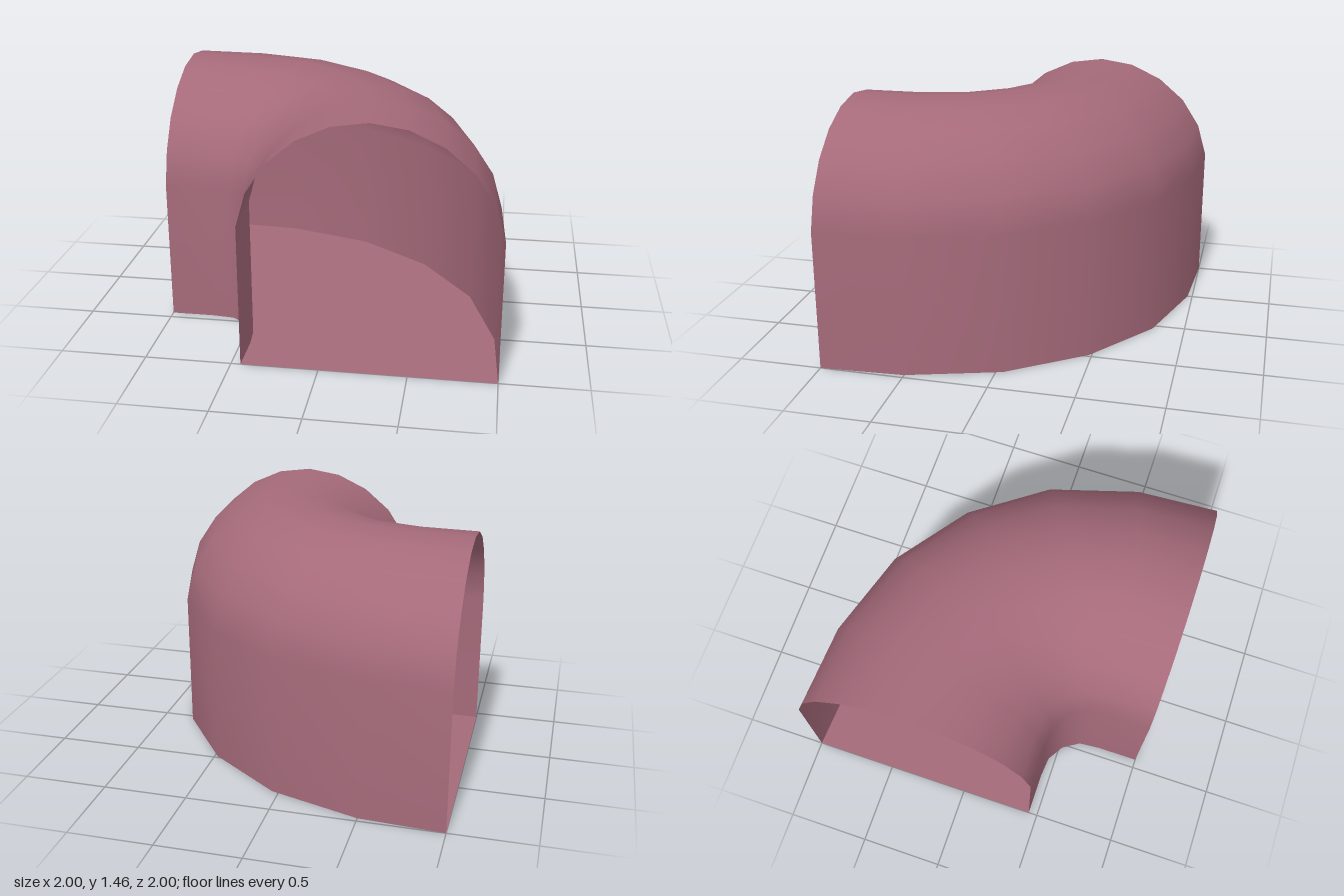
import * as THREE from 'three';

// Plan of the bend: [inner x, inner z, outer x, outer z] up to the middle of the turn
const half = [
  [-1, 0.445, -1, -1],
  [-0.75, 0.445, -0.5, -0.97],
  [-0.62, 0.457, 0.04, -0.805],
];
const middle = [-0.52, 0.52, 0.483, -0.483];
const mirror = ([ix, iz, ox, oz]) => [-iz, -ix, -oz, -ox];
const stations = [...half, middle, ...half.map(mirror).reverse()];

// Arch from springing line to crown: [fraction of half width, height]
const rise = [[1, 0.84], [0.92, 1.04], [0.766, 1.21], [0.545, 1.345], [0.283, 1.432]];
const section = [
  [-1, 0], ...rise.map(([f, y]) => [-f, y]),
  [0, 1.462],
  ...rise.slice().reverse(), [1, 0],
];

// Sweep a profile of [fraction across, height] through all stations
function sweep(profile) {
  const positions = [], index = [], n = profile.length;
  stations.forEach(([ix, iz, ox, oz], s) => {
    profile.forEach(([f, y], p) => {
      const t = (f + 1) / 2;
      positions.push(ix + (ox - ix) * t, y, iz + (oz - iz) * t);
      if (s < stations.length - 1 && p < n - 1) {
        const a = s * n + p, b = a + n;
        index.push(a, b, a + 1, b, b + 1, a + 1);
      }
    });
  });
  const geometry = new THREE.BufferGeometry();
  geometry.setAttribute('position', new THREE.Float32BufferAttribute(positions, 3));
  geometry.setIndex(index);
  geometry.computeVertexNormals();
  return geometry;
}

export function createModel() {
  const group = new THREE.Group();
  group.name = 'tunnelBend';
  const material = new THREE.MeshStandardMaterial({ color: 0xa56a7a, side: THREE.DoubleSide });

  // Walls and vaulted roof in one smooth skin, open at both ends
  const vault = new THREE.Mesh(sweep(section), material);
  vault.name = 'archedWalls';

  // Flat floor
  const floor = new THREE.Mesh(sweep([[-1, 0], [1, 0]]), material);
  floor.name = 'floor';

  group.add(vault, floor);
  return group;
}
